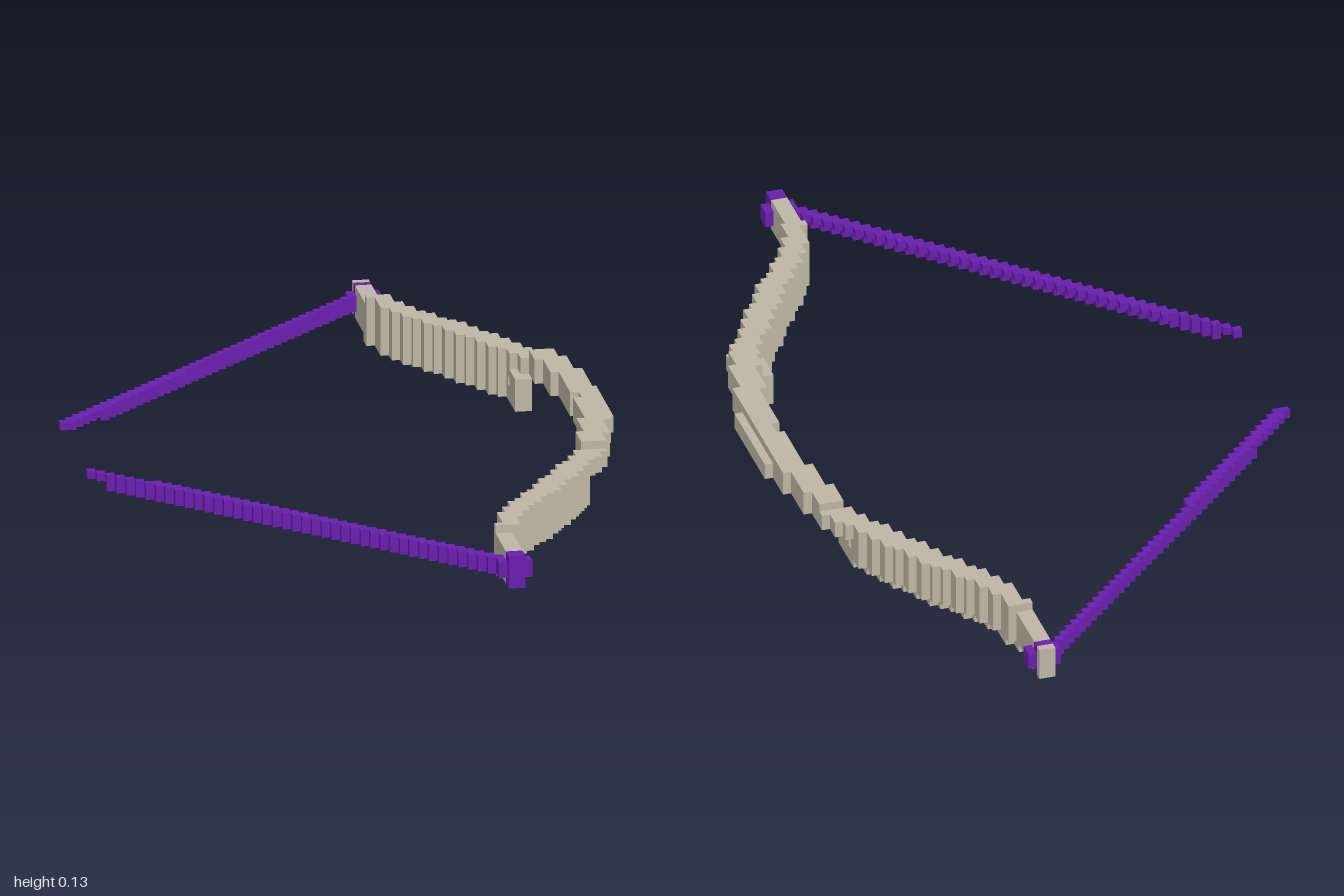
import * as THREE from 'three';
import { mergeGeometries } from 'three/addons/utils/BufferGeometryUtils.js';

const V = 2 / 108; // size of one cube

// Block in cube units, one slice thick at slice k, on side +1 or -1 of z = 0
function block(x0, x1, y0, y1, k, side) {
  const g = new THREE.BoxGeometry((x1 - x0) * V, (y1 - y0) * V, V);
  g.translate((x0 + x1) / 2 * V, (y0 + y1) / 2 * V, side * (k + 0.5) * V);
  return g;
}

// Bow curve: [slice, inner x, outer x] from grip to tip
const CURVE = [
  [0, 28.6, 32], [5, 28, 32], [6, 28, 31], [10, 27, 30.4], [13, 26.5, 30], [19, 25, 28.3],
  [22, 23, 26.4], [27, 20, 23.6], [32, 17, 20.6], [37, 13.6, 17], [41, 12, 14.8],
  [45, 11, 13.4], [47, 11, 13], [53, 11, 13],
];
function edges(k) {
  let i = 0;
  while (i < CURVE.length - 2 && CURVE[i + 1][0] < k) i++;
  const [k0, a0, b0] = CURVE[i], [k1, a1, b1] = CURVE[i + 1];
  const t = (k - k0) / (k1 - k0);
  return [Math.round(a0 + (a1 - a0) * t), Math.round(b0 + (b1 - b0) * t)];
}

function limb(side) {
  const parts = [];
  const add = (...a) => parts.push(block(...a, side));
  for (let k = 0; k < 54; k++) {
    if (k === 52 || (k === 53 && side > 0)) continue; // replaced by the knot
    const [lo, hi] = edges(k);
    if (k >= 46) { // slim tip
      add(lo, hi, 1, 5, k);
      continue;
    }
    // Upper band, with a raised narrower ridge
    add(lo, hi, 4, k < 45 ? 6 : 5, k);
    if (k < 18) add(Math.max(lo, 26), Math.min(hi, 31), 6, 7, k);
    // Deep lower flap, leaning inwards
    if (k >= 16) {
      const b = Math.min(hi, 26), a = Math.min(lo, 24);
      if (k === 20) { // small hole through the flap
        add(a, b, 3, 4, k);
        add(a, b, 1, 2, k);
      } else add(a, b, 1, 4, k);
      add(a, Math.max(a + 2, b - 1), 0, 1, k);
    }
  }
  return mergeGeometries(parts);
}

function string(side) {
  const parts = [block(10, 11, 2, 4, 51, side)];
  for (let n = 0; n < 42; n++) {
    const x = 9 - n, k = 50 - n;
    const wide = side > 0 ? x > -27 : x < -15;
    parts.push(block(x, x + (wide ? 2 : 1), 3, 4, k, side));
    if (side > 0 ? x > -31 : x > -27) parts.push(block(x, x + 1, 2, 3, k, side));
  }
  return mergeGeometries(parts);
}

function knot(side) {
  const parts = [
    block(11, 13, 1, 5, 52, side),
    block(10, 14, 2, 4, 52, side),
    block(13, 14, 2, 4, 51, side),
  ];
  if (side > 0) parts.push(block(11, 13, 1, 5, 53, side));
  return mergeGeometries(parts);
}

export function createModel() {
  const bone = new THREE.MeshStandardMaterial({ color: 0xbfb8a6 });
  bone.name = 'bone';
  const purple = new THREE.MeshStandardMaterial({ color: 0x6a1fb0 });
  purple.name = 'purple';

  const model = new THREE.Group();
  model.name = 'bow';
  for (const [side, label] of [[1, 'front'], [-1, 'back']]) {
    const add = (geometry, material, part) => {
      const mesh = new THREE.Mesh(geometry, material);
      mesh.name = label + part;
      model.add(mesh);
    };
    add(limb(side), bone, 'Limb');
    add(string(side), purple, 'String');
    add(knot(side), purple, 'Knot');
  }
  return model;
}
